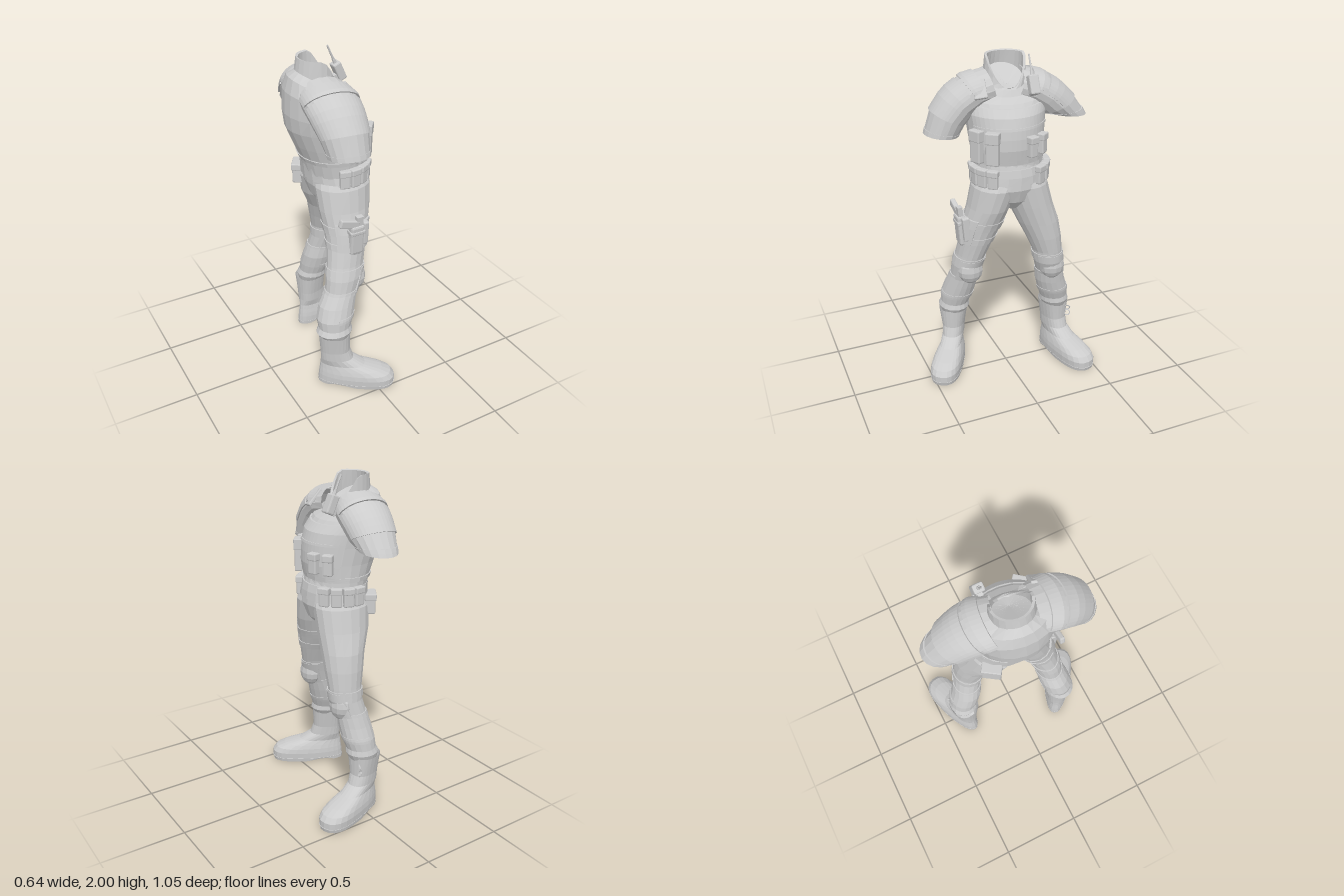
import * as THREE from 'three';
import { RoundedBoxGeometry } from 'three/addons/geometries/RoundedBoxGeometry.js';

const mat = new THREE.MeshStandardMaterial({ color: 0xcccccc, flatShading: true, side: THREE.DoubleSide });
const { PI, cos, sin, abs, sign, max } = Math;

function add(parent, name, geo, pos = [0, 0, 0], rot = [0, 0, 0]) {
  const m = new THREE.Mesh(geo, mat);
  m.name = name;
  m.position.set(...pos);
  m.rotation.set(...rot);
  parent.add(m);
  return m;
}

// Section: [x, y, z, front radius, side radius, roll about x, forward tilt]
function ringPoint(s, th, off = 0) {
  const [x, y, z, ru, rv, a = 0, t = 0] = s;
  const c = (ru + off) * cos(th), d = (rv + off) * sin(th);
  return [x + c * cos(t), y - c * sin(t) + d * sin(a), z + d * cos(a)];
}

// Surface through rows of points
function skin(rows) {
  const n = rows[0].length, idx = [];
  for (let i = 0; i < rows.length - 1; i++)
    for (let j = 0; j < n - 1; j++) {
      const a = i * n + j, b = a + n;
      idx.push(a, b, a + 1, b, b + 1, a + 1);
    }
  const g = new THREE.BufferGeometry();
  g.setAttribute('position', new THREE.Float32BufferAttribute(rows.flat(2), 3));
  g.setIndex(idx);
  g.computeVertexNormals();
  return g;
}

function row(s, off = 0, n = 18, t0 = 0, t1 = 2 * PI) {
  return Array.from({ length: n + 1 }, (_, j) => ringPoint(s, t0 + (t1 - t0) * j / n, off));
}
const loft = (secs, n) => skin(secs.map(s => row(s, 0, n)));

// Section of a body part at height y
function at(secs, y) {
  let i = 0;
  while (i < secs.length - 2 && secs[i + 1][1] < y) i++;
  const a = secs[i], b = secs[i + 1], k = (y - a[1]) / (b[1] - a[1]);
  return Array.from({ length: 7 }, (_, j) => (a[j] ?? 0) + ((b[j] ?? 0) - (a[j] ?? 0)) * k);
}

// Raised cloth panel or strap that follows a body part
function band(parent, name, secs, y0, y1, off, t0 = 0, t1 = 2 * PI, steps = 2) {
  const levels = [[y0, -0.01]];
  for (let i = 0; i <= steps; i++) levels.push([y0 + (y1 - y0) * i / steps, off]);
  levels.push([y1, -0.01]);
  add(parent, name, skin(levels.map(([y, o]) => {
    const s = at(secs, y);
    return [ringPoint(s, t0, -0.01), ...row(s, o, 18, t0, t1), ringPoint(s, t1, -0.01)];
  })));
}

// Pouch with a flap, set flat against a body part
function pouch(parent, name, secs, y, deg, w, h, d) {
  const th = deg * PI / 180, s = at(secs, y), p = ringPoint(s, th, d * 0.4);
  const g = new THREE.Group();
  g.name = name;
  g.position.set(p[0], y, p[2]);
  g.rotation.y = Math.atan2(cos(th) / s[3], sin(th) / s[4]);
  add(g, name + 'Body', new RoundedBoxGeometry(w, h, d, 1, 0.008));
  add(g, name + 'Flap', new RoundedBoxGeometry(w + 0.006, h * 0.35, d + 0.008, 1, 0.006), [0, h * 0.34, 0.002]);
  parent.add(g);
}

const torso = [
  [-0.03, 1.28, -0.03, 0.17, 0.205], [-0.048, 1.4, -0.025, 0.178, 0.208], [-0.062, 1.5, -0.02, 0.208, 0.215],
  [-0.085, 1.6, -0.02, 0.225, 0.225], [-0.1, 1.68, -0.02, 0.22, 0.237, 0, 0.04], [-0.125, 1.775, -0.025, 0.19, 0.24, 0, 0.2],
  [-0.135, 1.828, -0.03, 0.163, 0.19, 0, 0.38], [-0.125, 1.86, -0.03, 0.13, 0.12, 0, 0.45]];
const rightArm = [
  [-0.1, 1.555, 0.355, 0.116, 0.1, 0.1], [-0.108, 1.65, 0.315, 0.135, 0.108, 0.45], [-0.118, 1.73, 0.25, 0.15, 0.11, 0.75],
  [-0.125, 1.79, 0.16, 0.157, 0.105, 1], [-0.135, 1.81, 0.06, 0.14, 0.1, 1.3]];
const leftArm = [
  [-0.095, 1.62, -0.4, 0.105, 0.12, 0.1], [-0.1, 1.68, -0.335, 0.132, 0.113, -0.45], [-0.105, 1.74, -0.27, 0.145, 0.11, -0.75],
  [-0.115, 1.79, -0.19, 0.153, 0.105, -1], [-0.13, 1.81, -0.1, 0.14, 0.1, -1.3]];
const hips = [
  [-0.025, 1.085, -0.025, 0.04, 0.01], [-0.025, 1.11, -0.025, 0.1, 0.05], [-0.02, 1.17, -0.03, 0.152, 0.15],
  [-0.02, 1.25, -0.03, 0.178, 0.225], [-0.028, 1.34, -0.035, 0.178, 0.203], [-0.04, 1.4, -0.03, 0.172, 0.2]];
const rightLeg = [
  [-0.19, 0.35, 0.285, 0.085, 0.075], [-0.193, 0.39, 0.28, 0.112, 0.096], [-0.188, 0.42, 0.275, 0.1, 0.088],
  [-0.18, 0.48, 0.262, 0.115, 0.1], [-0.155, 0.56, 0.245, 0.115, 0.095], [-0.118, 0.64, 0.23, 0.1, 0.085],
  [-0.095, 0.72, 0.22, 0.113, 0.09], [-0.075, 0.8, 0.2, 0.115, 0.09], [-0.053, 0.9, 0.172, 0.12, 0.102],
  [-0.04, 1, 0.14, 0.132, 0.12], [-0.028, 1.12, 0.1, 0.158, 0.125], [-0.02, 1.25, 0.06, 0.17, 0.14], [-0.02, 1.3, 0.03, 0.155, 0.14]];
const leftLeg = [
  [-0.025, 0.35, -0.35, 0.085, 0.075], [-0.02, 0.39, -0.345, 0.1, 0.093], [-0.015, 0.42, -0.34, 0.09, 0.088],
  [-0.005, 0.48, -0.325, 0.1, 0.096], [0.005, 0.56, -0.3, 0.1, 0.093], [0.022, 0.64, -0.285, 0.092, 0.085],
  [0.045, 0.72, -0.265, 0.1, 0.09], [0.047, 0.8, -0.255, 0.103, 0.092], [0.038, 0.9, -0.23, 0.117, 0.11],
  [0.025, 1, -0.198, 0.13, 0.127], [-0.005, 1.12, -0.155, 0.16, 0.135], [-0.02, 1.25, -0.115, 0.173, 0.145], [-0.02, 1.3, -0.09, 0.155, 0.14]];

// Outline stack along the foot: [y, heel, toe, half width], widest at the ball
function bootGeometry(levels) {
  return skin(levels.map(([y, h, t, w]) => Array.from({ length: 25 }, (_, j) => {
    const c = cos(j * PI / 12), s = sin(j * PI / 12), x = (h + t) / 2 + (t - h) / 2 * sign(c) * abs(c) ** 0.8;
    const long = t - h > 0.25 ? 1 : 0;
    const arch = y === 0 && x > -0.01 && x < 0.1 ? 0.014 : 0;
    return [x, y + arch, w * sign(s) * abs(s) ** 0.85 * (1 - long * 0.2 * (1 - c))];
  })));
}

function boot(parent, name, x, z, yaw) {
  const g = new THREE.Group();
  g.name = name;
  g.position.set(x, 0, z);
  g.rotation.y = yaw;
  add(g, 'bootUpper', bootGeometry([
    [0.02, -0.107, 0.363, 0.11], [0.06, -0.104, 0.363, 0.113], [0.09, -0.1, 0.34, 0.108], [0.115, -0.096, 0.285, 0.097],
    [0.145, -0.092, 0.18, 0.08], [0.19, -0.09, 0.108, 0.066], [0.25, -0.092, 0.087, 0.069], [0.37, -0.1, 0.09, 0.088]]));
  add(g, 'sole', bootGeometry([[0, 0.1, 0.101, 0.001], [0, -0.107, 0.36, 0.108], [0.022, -0.108, 0.366, 0.112], [0.024, -0.104, 0.358, 0.106]]));
  parent.add(g);
  return g;
}

export function createModel() {
  const model = new THREE.Group();

  // Upper body, turned slightly
  const upper = new THREE.Group();
  upper.name = 'upperBody';
  upper.rotation.y = -0.1;
  model.add(upper);
  add(upper, 'shirt', loft([...torso, [-0.08, 1.82, -0.03, 0.002, 0.002]], 22));
  // Open collar, dipping to a V at the front
  const rim = row([-0.125, 1.985, -0.035, 0.108, 0.118], 0, 22)
    .map(([x, y, z], j) => [x, y - 0.18 * max(0, cos(j * PI / 11)) ** 1.2, z]);
  const inner = rim.map(([x, y, z]) => [-0.125 + (x + 0.125) * 0.88, y - 0.004, -0.035 + (z + 0.035) * 0.88]);
  add(upper, 'collar', skin([row(torso[7], 0.004, 22), rim, inner, row(torso[7], -0.014, 22)]));

  // Sleeves with padded shoulders and straps
  for (const [side, arm, t] of [['right', rightArm, 0], ['left', leftArm, PI]]) {
    const [x, y, z] = arm[0];
    add(upper, side + 'Sleeve', loft([[x, y + 0.03, z, 0.002, 0.002], ...arm]));
    band(upper, side + 'SleeveHem', arm, y, y + 0.02, 0.003);
    band(upper, side + 'ShoulderPad', arm, arm[1][1], 1.77, 0.007, t + 0.1, t + PI - 0.1, 4);
    band(upper, side + 'ShoulderStrap', arm, 1.78, 1.8, 0.008, t + 0.15, t + PI - 0.15);
  }

  // Chest vest and its pouches
  band(upper, 'vestFront', torso, 1.43, 1.75, 0.008, -1.1, 1.1, 5);
  band(upper, 'vestSeam', torso, 1.61, 1.625, 0.012, -1.1, 1.1);
  band(upper, 'vestHem', torso, 1.405, 1.43, 0.008);
  for (const deg of [34, 60]) pouch(upper, 'tallPouch', torso, 1.51, deg, 0.075, 0.19, 0.045);
  for (const deg of [-24, -46]) pouch(upper, 'smallPouch', torso, 1.51, deg, 0.055, 0.12, 0.045);
  add(upper, 'strapPad', new RoundedBoxGeometry(0.02, 0.12, 0.075, 1, 0.006), [0.005, 1.825, 0.15], [0.15, -0.2, 0.75]);

  // Radio with antenna
  const radio = new THREE.Group();
  radio.name = 'radio';
  radio.position.set(0.07, 1.84, -0.14);
  radio.rotation.z = 0.42;
  add(radio, 'radioBody', new RoundedBoxGeometry(0.05, 0.11, 0.06, 1, 0.008));
  add(radio, 'radioClip', new THREE.BoxGeometry(0.03, 0.05, 0.035), [-0.03, -0.03, 0]);
  add(radio, 'antennaBase', new THREE.CylinderGeometry(0.01, 0.012, 0.03, 8), [0, 0.065, 0]);
  add(radio, 'antenna', new THREE.CylinderGeometry(0.005, 0.007, 0.1, 6), [0, 0.122, 0]);
  model.add(radio);

  // Trousers, belt and belt pouches
  add(model, 'hips', loft(hips, 22));
  band(model, 'belt', hips, 1.285, 1.375, 0.008);
  for (const deg of [45, 64, 83, 102, -36, -56, -76, -96])
    pouch(model, 'beltPouch', hips, 1.325, deg, 0.06, 0.11, 0.035);
  pouch(model, 'backPouch', hips, 1.25, -140, 0.11, 0.12, 0.06);

  // Legs with straps, folds and knee pads
  for (const [side, leg, pad] of [['right', rightLeg, [-0.025, 0.7, 0.222]], ['left', leftLeg, [0.09, 0.69, -0.277]]]) {
    add(model, side + 'TrouserLeg', loft(leg));
    band(model, side + 'KneeStrap', leg, 0.74, 0.785, 0.006);
    band(model, side + 'KneeStrap', leg, 0.615, 0.645, 0.005);
    band(model, side + 'ShinFold', leg, 0.47, 0.5, 0.003, -1.8, 1.8);
    const knee = add(model, side + 'KneePad', new THREE.SphereGeometry(1, 12, 8), pad);
    knee.scale.set(0.062, 0.088, 0.078);
    band(model, side + 'KneeGuard', leg, 0.63, 0.775, 0.008, -1, 1, 3);
  }

  // Boots, the left with a loose lace
  boot(model, 'rightBoot', -0.19, 0.287, -0.57);
  const leftBoot = boot(model, 'leftBoot', -0.03, -0.35, 0.27);
  for (const s of [-1, 1])
    add(leftBoot, 'laceLoop', new THREE.TorusGeometry(0.018, 0.004, 5, 8), [0.09, 0.3 + s * 0.02, -0.045], [s * 0.5, 0.8, 0]);

  // Thigh holster with pistol
  band(model, 'thighStrap', rightLeg, 0.99, 1.04, 0.006);
  band(model, 'thighStrap', rightLeg, 0.9, 0.94, 0.006);
  band(model, 'thighPanel', rightLeg, 0.9, 1.06, 0.01, 0.7, 2.4, 3);
  const holster = new THREE.Group();
  holster.name = 'holster';
  holster.position.set(-0.045, 0.99, 0.272);
  holster.rotation.x = 0.08;
  add(holster, 'holsterBody', new RoundedBoxGeometry(0.085, 0.19, 0.05, 1, 0.012), [0, -0.01, 0]);
  add(holster, 'holsterTip', new RoundedBoxGeometry(0.055, 0.06, 0.04, 1, 0.01), [0.005, -0.085, 0]);
  add(holster, 'magazinePouch', new RoundedBoxGeometry(0.035, 0.15, 0.045, 1, 0.008), [0.065, 0.01, -0.015]);
  add(holster, 'pistolSlide', new THREE.BoxGeometry(0.04, 0.07, 0.03), [0.015, 0.105, 0]);
  add(holster, 'pistolGrip', new RoundedBoxGeometry(0.13, 0.05, 0.032, 1, 0.008), [-0.05, 0.105, 0], [0, 0, -0.3]);
  add(holster, 'retentionStrap', new RoundedBoxGeometry(0.095, 0.025, 0.058, 1, 0.006), [0, 0.04, 0]);
  model.add(holster);

  return model;
}
